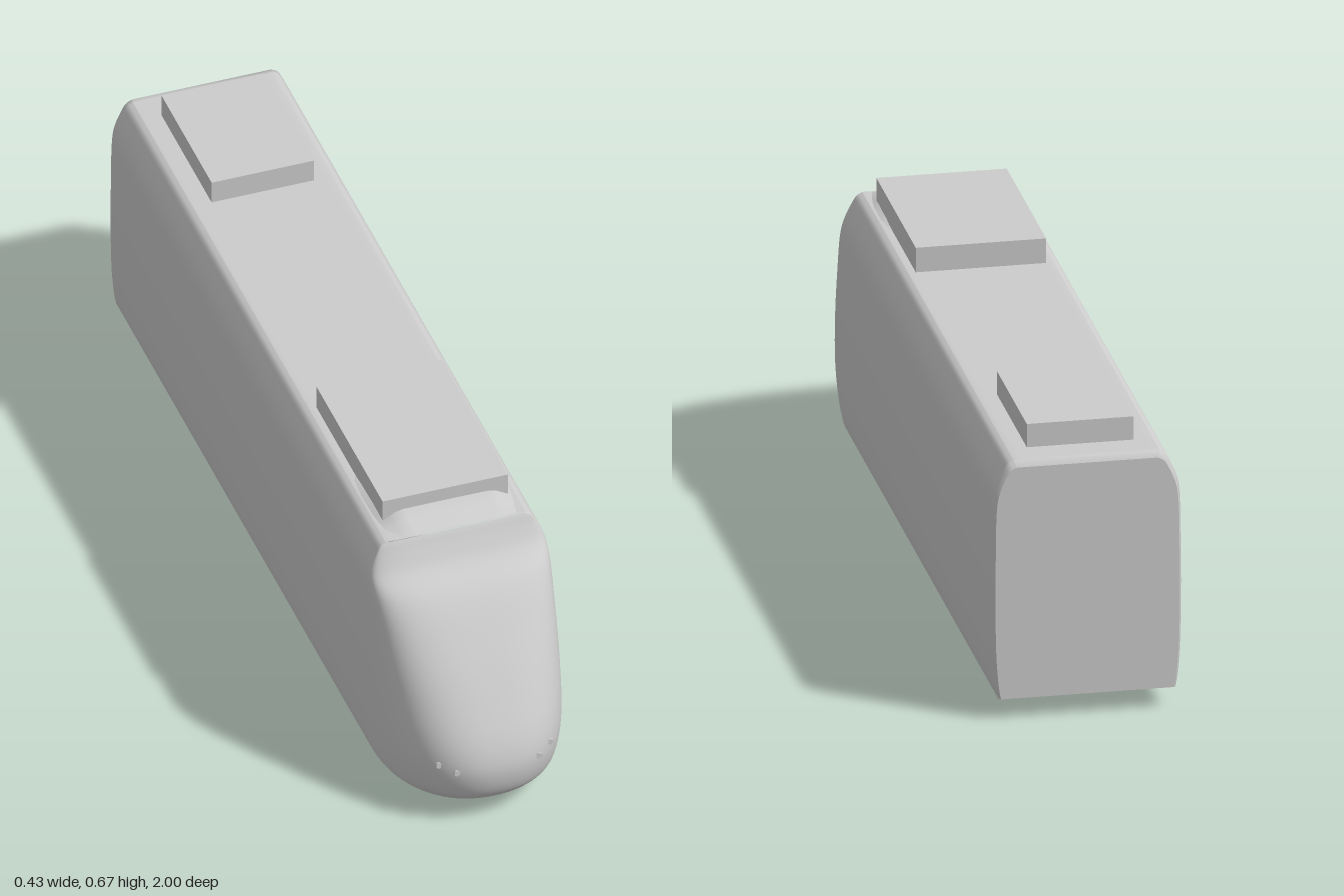
import * as THREE from 'three';

const SEAM = 0.7, BACK = -1, FLOOR = 0.05, ROOF = 0.61;

// Body section: half width, height, and how far the nose reaches past the seam there
const profile = new THREE.CatmullRomCurve3([
  [0.2, 0.05, 0.26], [0.205, 0.08, 0.287], [0.21, 0.14, 0.3], [0.212, 0.2, 0.287],
  [0.213, 0.3, 0.235], [0.212, 0.4, 0.173], [0.21, 0.5, 0.1], [0.204, 0.545, 0.044],
  [0.19, 0.58, 0.02], [0.177, 0.602, 0.008], [0.163, ROOF, 0.003],
].map(p => new THREE.Vector3(...p)), false, 'centripetal').getPoints(50);

// Smooth surface through rows of points
function loft(rows) {
  const n = rows[0].length, index = [];
  for (let i = 0; i < rows.length - 1; i++) {
    for (let j = 0; j < n - 1; j++) {
      const a = i * n + j, b = a + 1, c = a + n, d = c + 1;
      index.push(a, b, c, b, d, c);
    }
  }
  const g = new THREE.BufferGeometry();
  g.setAttribute('position', new THREE.Float32BufferAttribute(rows.flat(2), 3));
  g.setIndex(index);
  g.computeVertexNormals();
  return g;
}

// Nose is squarer across the windscreen than at the bumper
const squareness = y => THREE.MathUtils.lerp(2.2, 3.4, (y - FLOOR) / (ROOF - FLOOR));

function noseRow({ x: w, y, z: depth }) {
  const row = [], e = 2 / squareness(y);
  for (let k = 0; k <= 48; k++) {
    const a = Math.PI * k / 48, c = Math.cos(a);
    row.push([-w * Math.sign(c) * Math.abs(c) ** e, y,
      SEAM + depth * Math.max(0, Math.sin(a)) ** e]);
  }
  return row;
}

// Front surface of the nose at a given x and y
function noseZ(x, y) {
  const p = profile.reduce((m, q) => Math.abs(q.y - y) < Math.abs(m.y - y) ? q : m);
  const n = squareness(y);
  return SEAM + p.z * (1 - Math.abs(x / p.x) ** n) ** (1 / n);
}

export function createModel() {
  const model = new THREE.Group();
  const grey = new THREE.MeshStandardMaterial({ color: 0xcccccc });
  grey.name = 'bodyGrey';
  const add = (name, geometry, x = 0, y = 0, z = 0) => {
    const mesh = new THREE.Mesh(geometry, grey);
    mesh.name = name;
    mesh.position.set(x, y, z);
    model.add(mesh);
    return mesh;
  };

  // Carriage shell, over the roof from one side to the other, with a small rear bevel
  const half = profile.map(p => [p.x, p.y]);
  const section = [...half, [0.145, ROOF], [-0.145, ROOF],
    ...half.map(([x, y]) => [-x, y]).reverse()];
  const ring = (z, s) => section.map(([x, y]) => [x * s, FLOOR + (y - FLOOR) * s, z]);
  add('carriageShell', loft([ring(BACK, 0.975), ring(-0.992, 1), ring(-0.98, 1), ring(SEAM, 1)]));

  // Rear wall
  const wall = new THREE.Shape(ring(0, 0.975).map(([x, y]) => new THREE.Vector2(x, y)));
  add('rearWall', new THREE.ShapeGeometry(wall).rotateY(Math.PI), 0, 0, BACK);

  // Sloping nose
  add('nose', loft(profile.map(noseRow)));

  // Flat underside following the nose outline
  const floor = new THREE.Shape([[-0.195, 0, BACK], ...noseRow(profile[0]), [0.195, 0, BACK]]
    .map(([x, , z]) => new THREE.Vector2(x, z)));
  add('underside', new THREE.ShapeGeometry(floor).rotateX(Math.PI / 2), 0, FLOOR, 0);

  // Low roof fairing: z, half width, height above the roof
  const fairing = [[0.42, 0.14, 0], [0.46, 0.158, 0.008], [0.52, 0.162, 0.018],
    [0.6, 0.16, 0.026], [0.63, 0.157, 0.026], [0.66, 0.153, 0.018], [0.7, 0.145, 0]];
  add('roofFairing', loft(fairing.map(([z, w, h]) =>
    [[1, 0], [0.85, 0.5], [0.75, 0.85], [0.62, 1], [0, 1.02], [-0.62, 1], [-0.75, 0.85],
      [-0.85, 0.5], [-1, 0]].map(([u, v]) => [u * w, ROOF - 0.001 + v * h, z]))));

  // Roof equipment boxes
  add('frontRoofBox', new THREE.BoxGeometry(0.294, 0.06, 0.44), 0, 0.638, 0.41);
  add('rearRoofBox', new THREE.BoxGeometry(0.24, 0.055, 0.333), 0, 0.6375, -0.75);

  for (const side of [-1, 1]) {
    // Wheels half sunk into the floor
    for (const z of [0.727, 0.395]) {
      const wheel = new THREE.CylinderGeometry(0.05, 0.05, 0.018, 10).rotateZ(Math.PI / 2);
      add('wheel', wheel, side * 0.138, 0.05, z);
    }
    // Small hexagonal lamps
    for (const [x, y] of [[0.096, 0.152], [0.13, 0.165]]) {
      const lamp = new THREE.CylinderGeometry(0.008, 0.008, 0.008, 6).rotateX(Math.PI / 2);
      add('headlamp', lamp, side * x, y, noseZ(x, y) - 0.001);
    }
  }
  return model;
}
